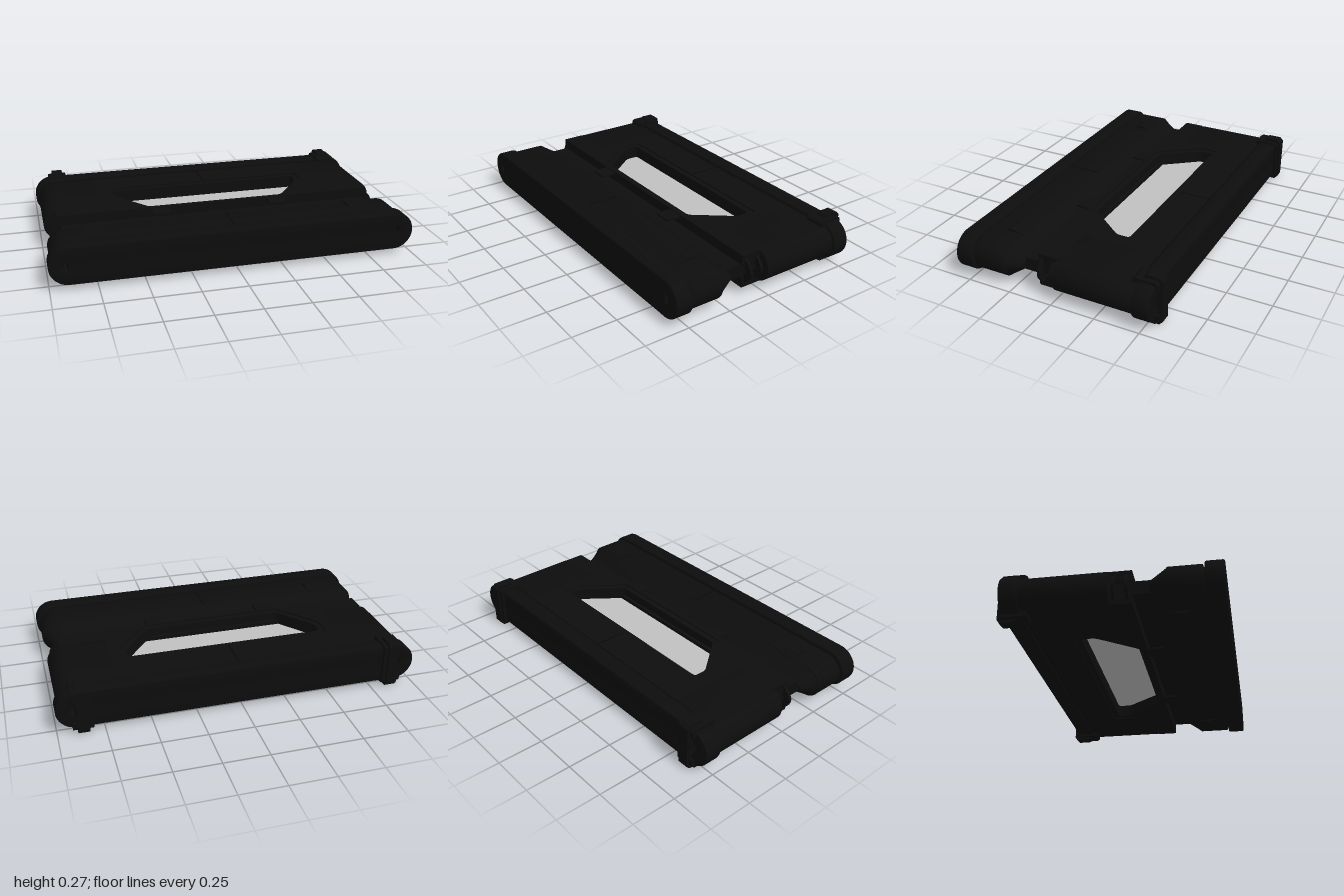
import * as THREE from 'three';
import { toCreasedNormals } from 'three/addons/utils/BufferGeometryUtils.js';

const MID = 0.137; // height of the centre plane

const shell = new THREE.MeshStandardMaterial({ color: 0x0d0d0d });
shell.name = 'black shell';
const seamMat = new THREE.MeshStandardMaterial({ color: 0x070707 });
seamMat.name = 'seam black';
const panelMat = new THREE.MeshStandardMaterial({ color: 0xc0c0c0 });
panelMat.name = 'pale panel';

export function createModel() {
  const model = new THREE.Group();
  model.name = 'framedSlab';

  const add = (name, geo, mat = shell) => {
    const mesh = new THREE.Mesh(geo, mat);
    mesh.name = name;
    model.add(mesh);
    return mesh;
  };
  const box = (name, x0, x1, y0, y1, z0, z1, mat) =>
    add(name, new THREE.BoxGeometry(x1 - x0, y1 - y0, z1 - z0), mat)
      .position.set((x0 + x1) / 2, (y0 + y1) / 2, (z0 + z1) / 2);

  // Lens-shaped passage running through each rounded end
  const lens = (s) => {
    const p = new THREE.Path();
    p.moveTo(s * 0.9, -0.028);
    p.quadraticCurveTo(s * 0.95, 0, s * 0.9, 0.028);
    p.closePath();
    return p;
  };
  const stadium = (w, r) => {
    const s = new THREE.Shape();
    s.moveTo(-w + r, -r);
    s.lineTo(w - r, -r);
    s.absarc(w - r, 0, r, -Math.PI / 2, Math.PI / 2, false);
    s.lineTo(-w + r, r);
    s.absarc(-w + r, 0, r, Math.PI / 2, Math.PI * 1.5, false);
    s.holes.push(lens(1), lens(-1));
    return s;
  };
  // Extrude a cross-section along z, with softened end edges
  const along = (shape, z0, z1, bevel) => {
    const g = new THREE.ExtrudeGeometry(shape, {
      depth: z1 - z0 - 2 * bevel, curveSegments: 14, bevelEnabled: bevel > 0,
      bevelThickness: bevel, bevelSize: bevel, bevelOffset: -bevel, bevelSegments: 2,
    });
    return g.translate(0, MID, z0 + bevel);
  };
  const smooth = (g) => toCreasedNormals(g, 0.6);

  // Front and rear bars
  add('frontBar', smooth(along(stadium(1, 0.105), 0.473, 0.571, 0.008)));
  add('rearBar', smooth(along(stadium(1, 0.105), -0.545, -0.45, 0.008)));
  add('frontBarJoint', smooth(along(stadium(0.965, 0.08), 0.455, 0.48, 0)));

  // Front block, with its rear section narrowed to the core
  add('frontBlock', smooth(along(stadium(0.985, 0.093), 0.285, 0.465, 0.005)));
  const taper = along(stadium(0.98, 0.091), 0.2, 0.288, 0);
  const p = taper.attributes.position;
  for (let i = 0; i < p.count; i++) {
    const x = p.getX(i), y = p.getY(i) - MID;
    const inLens = Math.abs(x) < 0.93 && Math.abs(y) < 0.03;
    if (p.getZ(i) < 0.22 && !inLens) {
      p.setX(i, x - Math.sign(x) * Math.min(0.045, Math.abs(x)));
      p.setY(i, MID + y * 0.41);
    }
  }
  add('frontTaper', smooth(taper));

  // Thin core joining the front and rear blocks
  box('core', -0.9, 0.9, MID - 0.037, MID + 0.037, 0.05, 0.25);

  // Horizontal plate with a hole for the window
  const windowPoints = (o) => [
    [-0.56 - o, -0.22 - o], [0.56 + o, -0.22 - o], [0.56 + o, -0.145 + o * 0.4],
    [0.395 + o * 0.5, 0.068 + o], [-0.395 - o * 0.5, 0.068 + o], [-0.56 - o, -0.145 + o * 0.4],
  ].map(([x, z]) => new THREE.Vector2(x, z));
  const rounded = (pts, r) => {
    const path = new THREE.Path();
    pts.forEach((c, i) => {
      const a = pts[(i + pts.length - 1) % pts.length], b = pts[(i + 1) % pts.length];
      const from = c.clone().add(a.clone().sub(c).setLength(r));
      const to = c.clone().add(b.clone().sub(c).setLength(r));
      if (i === 0) path.moveTo(from.x, from.y);
      else path.lineTo(from.x, from.y);
      path.quadraticCurveTo(c.x, c.y, to.x, to.y);
    });
    path.closePath();
    return path;
  };
  const deck = (name, y0, y1, offset) => {
    const s = new THREE.Shape([[-0.66, -0.46], [0.66, -0.46], [0.66, 0.112], [-0.66, 0.112]]
      .map(([x, z]) => new THREE.Vector2(x, z)));
    s.holes.push(rounded(windowPoints(offset), 0.02));
    const g = new THREE.ExtrudeGeometry(s, { depth: y1 - y0, bevelEnabled: false, curveSegments: 4 });
    add(name, g.rotateX(Math.PI / 2).translate(0, y1, 0));
  };
  deck('rearDeck', 0.052, 0.222, 0);
  deck('topSkin', 0.222, 0.23, 0.032);
  deck('bottomSkin', 0.044, 0.052, 0.032);
  box('windowPanel', -0.6, 0.6, 0.122, 0.152, -0.25, 0.09, panelMat);

  for (const s of [-1, 1]) {
    const side = s < 0 ? 'right' : 'left';
    const span = (name, a, b, ...rest) => box(side + name, Math.min(s * a, s * b), Math.max(s * a, s * b), ...rest);

    // Rounded side of the rear block
    const half = new THREE.Shape();
    half.moveTo(s * 0.655, -0.093);
    half.lineTo(s * 0.892, -0.093);
    half.absarc(s * 0.892, 0, 0.093, -Math.PI / 2, Math.PI / 2, s < 0);
    half.lineTo(s * 0.655, 0.093);
    half.closePath();
    half.holes.push(lens(s));
    add(side + 'RearSide', smooth(along(half, -0.46, 0, 0.004)));

    // Recessed side with two thin ribs
    span('RecessCore', 0.65, 0.9, 0.1, 0.175, -0.005, 0.11);
    span('RecessTop', 0.65, 0.916, 0.17, 0.23, -0.005, 0.112);
    span('RecessBottom', 0.65, 0.916, 0.044, 0.104, -0.005, 0.112);
    for (const z of [0.02, 0.088]) {
      const rib = new THREE.Shape();
      rib.moveTo(s * 0.86, -0.08);
      rib.lineTo(s * 0.9, -0.08);
      rib.quadraticCurveTo(s * 1.025, 0, s * 0.9, 0.08);
      rib.lineTo(s * 0.86, 0.08);
      rib.closePath();
      rib.holes.push(lens(s));
      add(side + 'Rib', smooth(along(rib, z - 0.008, z + 0.008, 0)));
    }

    // Clamp around the rear bar
    for (const t of [-1, 1]) {
      const clamp = new THREE.Shape([[0.54, 0.07], [0.42, 0.07], [0.42, 0.108], [0.436, 0.118], [0.545, 0.118], [0.56, 0.105], [0.56, 0.07]]
        .map(([z, y]) => new THREE.Vector2(z, y * t)));
      const g = new THREE.ExtrudeGeometry(clamp, { depth: 0.105, bevelEnabled: false });
      add(side + 'ClampJaw', g.rotateY(Math.PI / 2).translate(s * 0.865 - 0.0525, MID, 0));
    }
    span('ClampPlate', 0.81, 0.898, 0.03, 0.245, -0.562, -0.54);
    const strap = new THREE.Shape([[0.47, -0.12], [0.485, -0.134], [0.555, -0.134], [0.574, -0.115],
      [0.574, 0.115], [0.555, 0.134], [0.485, 0.134], [0.47, 0.12]].map(([z, y]) => new THREE.Vector2(z, y)));
    const sg = new THREE.ExtrudeGeometry(strap, { depth: 0.06, bevelEnabled: false });
    add(side + 'ClampStrap', sg.rotateY(Math.PI / 2).translate(s * 0.863 - 0.03, MID, 0));

    // Wedge clip on the front block, above and below
    const clip = new THREE.Shape([[-0.28, -0.09], [-0.325, -0.107], [-0.36, -0.107], [-0.405, -0.09],
      [-0.405, 0.09], [-0.36, 0.107], [-0.325, 0.107], [-0.28, 0.09]].map(([z, y]) => new THREE.Vector2(z, y)));
    const cg = new THREE.ExtrudeGeometry(clip, { depth: 0.11, bevelEnabled: false });
    add(side + 'WedgeClip', cg.rotateY(Math.PI / 2).translate(s * 0.745 - 0.055, MID, 0));

    // Thin prongs reaching across the gap
    for (const y of [0.05, 0.214]) span('Prong', 0.29, 0.39, y, y + 0.011, 0.1, 0.2);
  }

  // Seam strips on the top and bottom faces
  for (const y of [0.0435, 0.2295]) {
    box('rearSeam', -0.004, 0.004, y, y + 0.0015, -0.445, -0.26, seamMat);
    box('frontSeam', -0.004, 0.004, y, y + 0.0015, 0.285, 0.46, seamMat);
    box('rearCrossSeam', -0.86, 0.86, y, y + 0.0015, -0.444, -0.438, seamMat);
  }
  return model;
}
